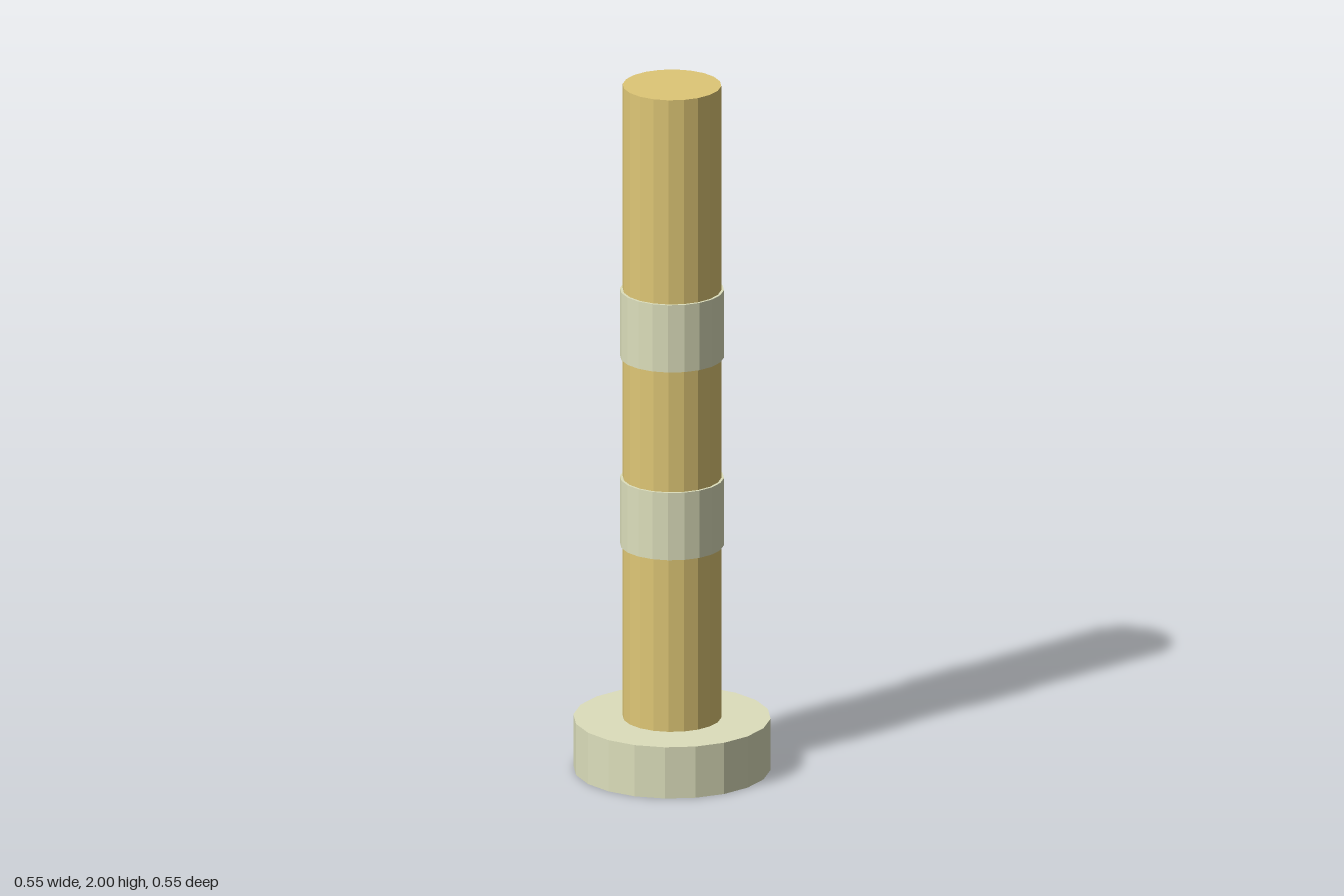
import * as THREE from 'three';

const SIDES = 20;

export function createModel() {
  const group = new THREE.Group();
  const gold = new THREE.MeshStandardMaterial({ color: 0xdfc776, flatShading: true });
  const cream = new THREE.MeshStandardMaterial({ color: 0xdddfbc, flatShading: true });

  // Upright faceted cylinder between two heights
  const addCylinder = (name, radius, bottom, top, material) => {
    const geometry = new THREE.CylinderGeometry(radius, radius, top - bottom, SIDES);
    const mesh = new THREE.Mesh(geometry, material);
    mesh.name = name;
    mesh.position.y = (bottom + top) / 2;
    group.add(mesh);
  };

  // Foot disc and the post standing on it
  addCylinder('base', 0.275, 0, 0.15, cream);
  addCylinder('post', 0.1375, 0.15, 2, gold);

  // Two bands around the post
  addCylinder('lowerBand', 0.145, 0.655, 0.852, cream);
  addCylinder('upperBand', 0.145, 1.205, 1.402, cream);

  return group;
}
